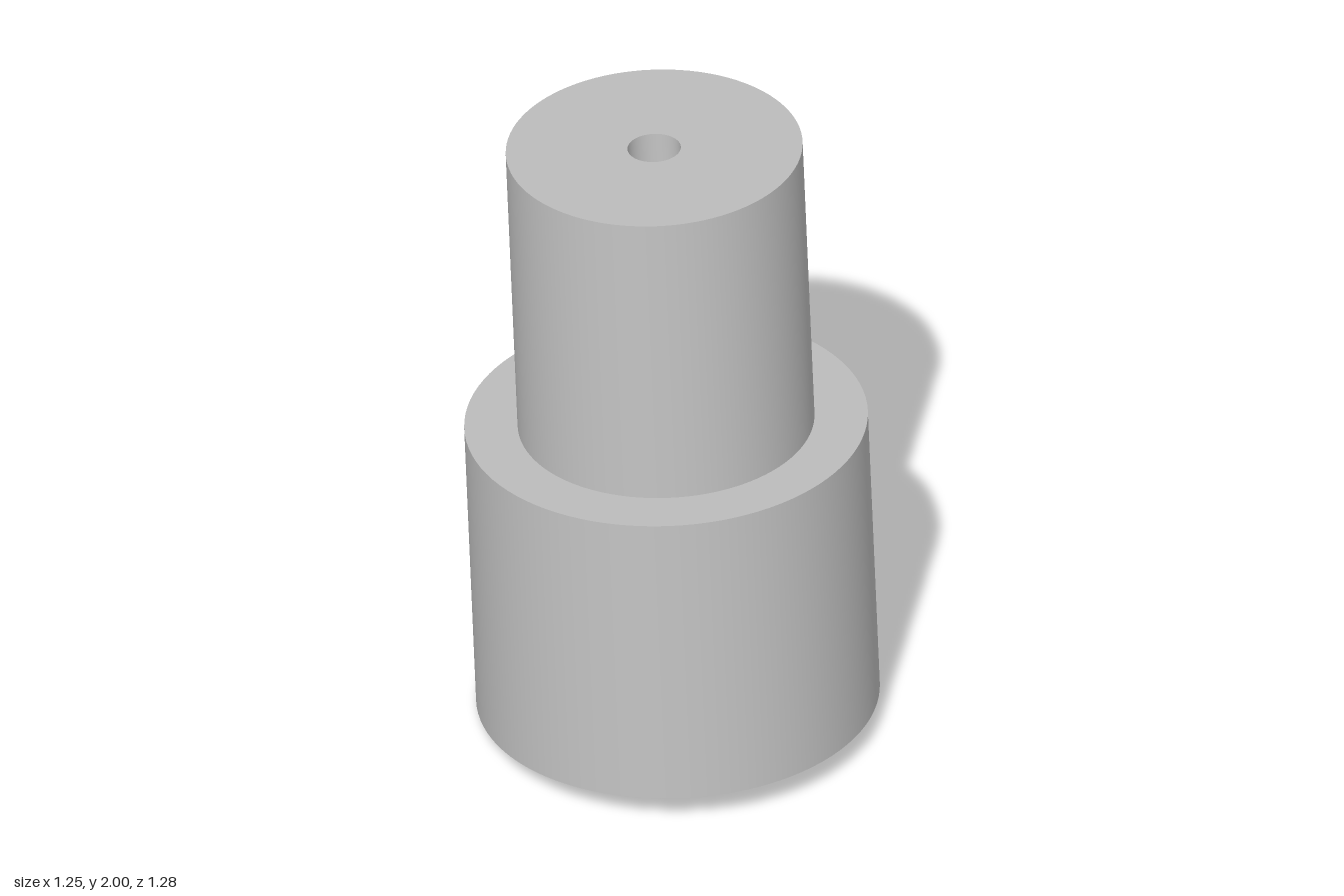
import * as THREE from 'three';
import { mergeGeometries } from 'three/addons/utils/BufferGeometryUtils.js';

const SEGMENTS = 96;
const BASE_R = 0.605, NECK_R = 0.445, BORE_R = 0.08;
const LENGTH = 1.918, STEP = 0.96;

// Revolve each profile edge on its own so the corners stay sharp
function revolve(profile) {
  const bands = [];
  for (let i = 0; i < profile.length - 1; i++) {
    const edge = [profile[i], profile[i + 1]].map(([r, y]) => new THREE.Vector2(r, y));
    bands.push(new THREE.LatheGeometry(edge, SEGMENTS));
  }
  return mergeGeometries(bands);
}

export function createModel() {
  const grey = new THREE.MeshStandardMaterial({ color: 0xbfbfbf });
  grey.name = 'grey';

  const bushing = new THREE.Group();
  bushing.name = 'steppedBushing';
  const add = (name, profile) => {
    const mesh = new THREE.Mesh(revolve(profile), grey);
    mesh.name = name;
    bushing.add(mesh);
  };

  // Wide lower body: underside, wall and shoulder
  add('base', [[BORE_R, 0], [BASE_R, 0], [BASE_R, STEP], [NECK_R, STEP]]);
  // Narrow upper body: wall and top face
  add('neck', [[NECK_R, STEP], [NECK_R, LENGTH], [BORE_R, LENGTH]]);
  // Through hole, facing inward
  add('bore', [[BORE_R, LENGTH], [BORE_R, 0]]);

  // Lean the whole part along its tilted axis
  const axis = new THREE.Vector3(0.08, 1.91, -0.148).normalize();
  bushing.quaternion.setFromUnitVectors(new THREE.Vector3(0, 1, 0), axis);
  bushing.position.set(-0.021, 0.053, 0.038);

  const model = new THREE.Group();
  model.name = 'model';
  model.add(bushing);
  return model;
}
